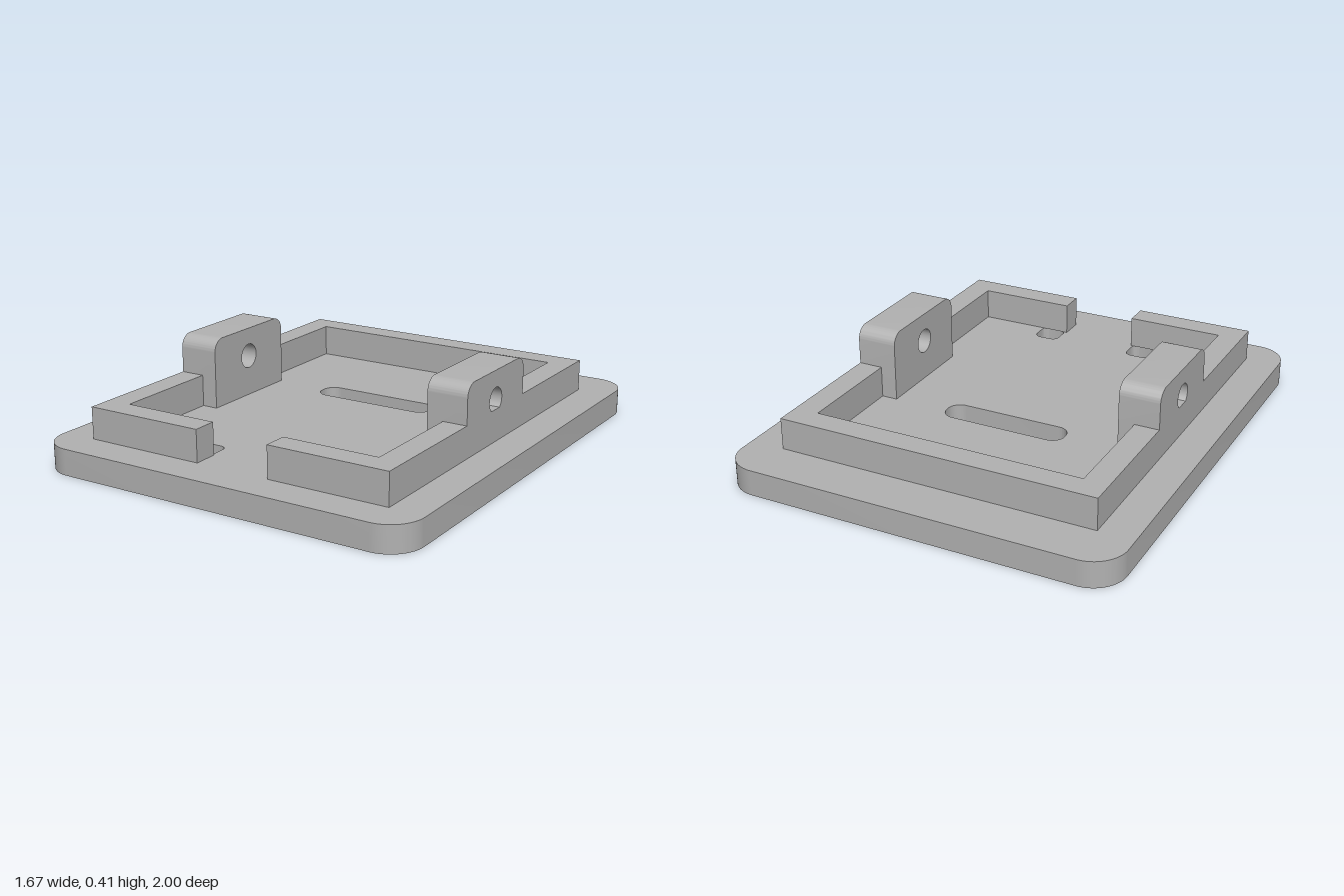
import * as THREE from 'three';
import { toCreasedNormals } from 'three/addons/utils/BufferGeometryUtils.js';

const grey = new THREE.MeshStandardMaterial({ color: 0xb2b2b2 });
grey.name = 'grey plastic';

// Rounded rectangle; set hole to get a Path instead of a Shape
function roundRect(x0, y0, x1, y1, r, hole = false) {
  const s = hole ? new THREE.Path() : new THREE.Shape();
  s.moveTo(x0 + r, y0);
  s.lineTo(x1 - r, y0);
  s.absarc(x1 - r, y0 + r, r, -Math.PI / 2, 0);
  s.lineTo(x1, y1 - r);
  s.absarc(x1 - r, y1 - r, r, 0, Math.PI / 2);
  s.lineTo(x0 + r, y1);
  s.absarc(x0 + r, y1 - r, r, Math.PI / 2, Math.PI);
  s.lineTo(x0, y0 + r);
  s.absarc(x0 + r, y0 + r, r, Math.PI, Math.PI * 1.5);
  return s;
}

function extrude(shape, depth) {
  return new THREE.ExtrudeGeometry(shape, { depth, bevelEnabled: false, curveSegments: 12 });
}

function part(name, geometry) {
  const mesh = new THREE.Mesh(toCreasedNormals(geometry, 0.6), grey);
  mesh.name = name;
  return mesh;
}

export function createModel() {
  const model = new THREE.Group();
  model.name = 'mountingPlate';
  const baseTop = 0.11, wallTop = 0.245, lugTop = 0.408;

  // Base plate with a long slot and two small holes (shape y is -z)
  const plate = roundRect(-0.835, -1, 0.835, 1, 0.14);
  plate.holes.push(roundRect(-0.273, 0.134, 0.273, 0.256, 0.055, true));
  for (const x of [-0.228, 0.228]) {
    plate.holes.push(roundRect(x - 0.055, -0.755, x + 0.055, -0.645, 0.03, true));
  }
  model.add(part('basePlate', extrude(plate, baseTop).rotateX(-Math.PI / 2)));

  // Raised rim, open at the middle of the front
  const rim = new THREE.Shape([
    [0.163, -0.848], [0.685, -0.848], [0.685, 0.795], [-0.685, 0.795],
    [-0.685, -0.848], [-0.163, -0.848], [-0.163, -0.743], [-0.58, -0.743],
    [-0.58, 0.69], [0.58, 0.69], [0.58, -0.743], [0.163, -0.743],
  ].map(([x, y]) => new THREE.Vector2(x, y)));
  const rimGeo = extrude(rim, wallTop - baseTop).rotateX(-Math.PI / 2);
  model.add(part('rim', rimGeo.translate(0, baseTop, 0)));

  // Pair of hinge lugs with rounded tops and a cross hole (shape x is -z)
  const r = 0.055, back = 0.215, front = -0.27;
  for (const [name, x] of [['leftLug', 0.511], ['rightLug', -0.685]]) {
    const lug = new THREE.Shape();
    lug.moveTo(front, baseTop);
    lug.lineTo(back, baseTop);
    lug.lineTo(back, lugTop - r);
    lug.absarc(back - r, lugTop - r, r, 0, Math.PI / 2);
    lug.lineTo(front + r, lugTop);
    lug.absarc(front + r, lugTop - r, r, Math.PI / 2, Math.PI);
    lug.lineTo(front, baseTop);
    lug.holes.push(new THREE.Path().absarc(-0.03, 0.284, 0.053, 0, Math.PI * 2));
    model.add(part(name, extrude(lug, 0.174).rotateY(Math.PI / 2).translate(x, 0, 0)));
  }
  return model;
}
